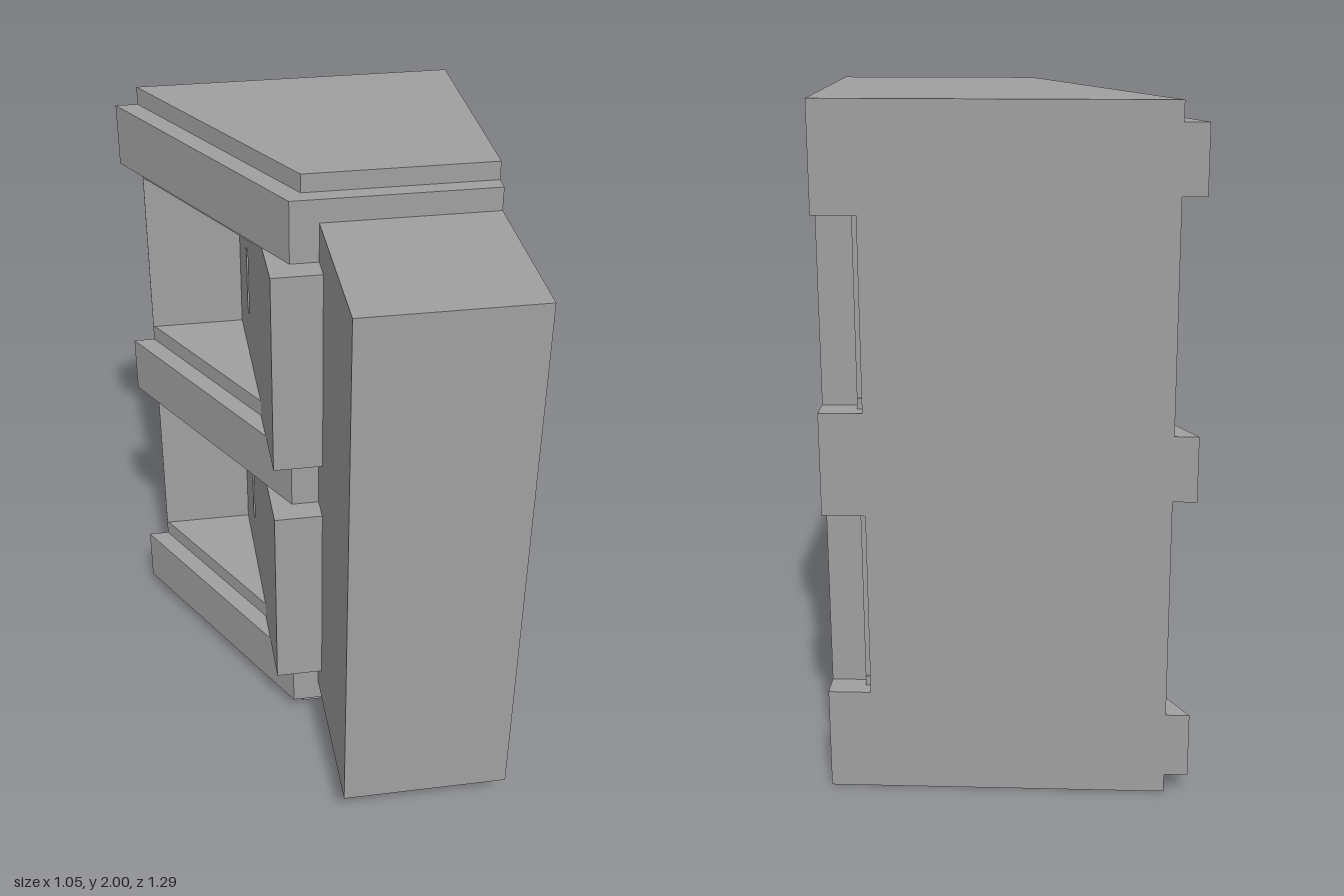
import * as THREE from 'three';

const T = 0.008;   // wall thickness
const R = 0.523;   // open side plane (+x)
const B = -0.645;  // back plane
const F = 0.645;   // front plane
const material = new THREE.MeshStandardMaterial({ color: 0xa0a0a0, flatShading: true, side: THREE.DoubleSide });

// Plan outlines as [x, z] chains, from the back left corner round to the open side
const box = [[0, F], [R, F]];
const notch = [[R, -0.565], [0.4, -0.565], [0.4, B]];
const END = [[-0.455, B], [-0.045, 0.063], [R, 0.063]];
const BAND = [[-0.523, B], [-0.085, 0.112], [R, 0.112]];
const BAND_BOX = [[-0.523, B], [-0.085, 0.112], [0, 0.112], ...box];
const INNER_BOX = [[-0.455, B], [-0.045, 0.063], [0, 0.063], ...box];
const BLOCK = [[-0.455, B], [-0.15, -0.118], [-0.15, 0.187], [0, 0.187], ...box];
const POCKET = [[-0.455, B], [-0.455, B + 0.01], [-0.15, B + 0.01], [-0.15, 0.187], [0, 0.187], ...box];
const SLIT_FRONT = [[-0.15, -0.39], [-0.15, 0.187], [0, 0.187], ...box];
const SLIT_REAR = [...notch, [-0.455, B], [-0.455, B + 0.01], [-0.15, B + 0.01], [-0.15, -0.43], [R, -0.43]];

// Shallow recess in the open side, ending at z = back
const recess = (back) => [[R, 0], [R - 0.01, 0], [R - 0.01, back], [R, back], [R, B]];

// Moves a chain inwards by the wall thickness, with mitred corners
function inset(chain) {
  const normals = chain.slice(1).map(([x, z], i) => {
    const dx = x - chain[i][0], dz = z - chain[i][1], l = Math.hypot(dx, dz);
    return [dz / l, -dx / l];
  });
  return chain.map(([x, z], i) => {
    const a = normals[Math.max(i - 1, 0)], b = normals[Math.min(i, normals.length - 1)];
    const k = T / (1 + a[0] * b[0] + a[1] * b[1]);
    return [x + (a[0] + b[0]) * k, z + (a[1] + b[1]) * k];
  });
}

// Keeps the part of a chain in front of z = limit
function clip(chain, limit) {
  const i = chain.findIndex((p) => p[1] > limit);
  const p = chain[i - 1], q = chain[i];
  const k = (limit - p[1]) / (q[1] - p[1]);
  return [[p[0] + (q[0] - p[0]) * k, limit], ...chain.slice(i)];
}

// Closed plan of a wall layer: outline with a cavity that opens to +x
function plan(outline, cavity, limit, start) {
  const points = [...(start || [[R, outline[0][1]]]), ...outline];
  if (cavity) points.push(...clip(inset(cavity), limit).reverse(), [R, limit]);
  return points;
}

export function createModel() {
  const model = new THREE.Group();

  const add = (name, geometry) => {
    const mesh = new THREE.Mesh(geometry, material);
    mesh.name = name;
    model.add(mesh);
    return mesh;
  };
  const block = (name, x0, x1, y0, y1, z0, z1) =>
    add(name, new THREE.BoxGeometry(x1 - x0, y1 - y0, z1 - z0))
      .position.set((x0 + x1) / 2, (y0 + y1) / 2, (z0 + z1) / 2);
  const slab = (name, points, ya, yb, screwHole) => {
    const shape = new THREE.Shape(points.map(([x, z]) => new THREE.Vector2(x, -z)));
    if (screwHole) shape.holes.push(new THREE.Path().absarc(0.395, 0.044, 0.035, 0, Math.PI * 2, true));
    const geometry = new THREE.ExtrudeGeometry(shape, { depth: Math.abs(yb - ya), bevelEnabled: false, curveSegments: 12 });
    geometry.rotateX(-Math.PI / 2).translate(0, Math.min(ya, yb), 0);
    add(name, geometry);
  };

  // Lower and upper halves: the same stack of layers, mirrored about y = 1
  for (const [flip, limit] of [[false, -0.23], [true, -0.107]]) {
    const m = (y) => (flip ? 2 - y : y);
    const layer = (name, y0, y1, outline, cavity, start) =>
      slab(name, plan(outline, cavity, limit, start), m(y0), m(y1));
    layer('endCap', 0, T, END, null);
    layer('endWall', T, 0.056, END, END);
    layer('bandStep', 0.056, 0.056 + T, BAND, END);
    layer('bandWall', 0.056 + T, 0.128, BAND, BAND);
    layer('frontBoxCap', 0.128, 0.128 + T, BAND_BOX, BAND);
    layer('bandAndBoxWall', 0.128 + T, 0.249 - T, BAND_BOX, BAND_BOX);
    layer('bandLid', 0.249 - T, 0.249, BAND_BOX, INNER_BOX);
    layer('blockFloor', 0.249, 0.249 + T, BLOCK, INNER_BOX);
    layer('blockWall', 0.249 + T, 0.304 - T, BLOCK, BLOCK);
    layer('pocketFloor', 0.304 - T, 0.304, BLOCK, POCKET);
    layer('pocketWall', 0.304, 0.467, POCKET, POCKET, notch);
    slab('slitRear', SLIT_REAR, m(0.467), m(0.688));
    layer('slitFront', 0.467, 0.688, SLIT_FRONT, POCKET);
    layer('pocketWall', 0.688, 0.85, POCKET, POCKET, notch);

    // Solid middle, pierced by a screw hole and recessed for the latch cover
    const middle = (name, y0, y1, outline, start) =>
      slab(name, plan(outline, outline, 0.195, start), m(y0), m(y1), true);
    middle('middleBlock', 0.85, 0.905, BLOCK);
    middle('middleBand', 0.905, 0.92, BAND_BOX);
    middle('latchRecess', 0.92, 0.972, BAND_BOX, recess(-0.325));
    middle('latchTabRecess', 0.972, 1, BAND_BOX, recess(-0.345));

    // Chamfer where the middle meets the terminal strip
    const corner = new THREE.Shape([[-0.196, 0.85], [-0.14, 0.85], [-0.196, 0.797]]
      .map(([z, y]) => new THREE.Vector2(z, m(y))));
    const chamfer = new THREE.ExtrudeGeometry(corner, { depth: R, bevelEnabled: false });
    add('chamfer', chamfer.rotateY(Math.PI / 2));

    // Clip details in the rear notch
    const y0 = flip ? 1.15 : 0.304;
    block('notchRail', 0.39, 0.42, y0 + 0.03, y0 + 0.516, -0.597, -0.582);
    for (const y of [y0, y0 + 0.516]) block('notchPad', 0.39, 0.42, y, y + 0.03, -0.6, -0.565);
  }

  // Terminal compartments in the front box
  block('terminalStrip', 0.29, R, 0.35, 1.66, 0.195, 0.28);
  block('terminalBack', 0.29, 0.29 + T, 0.35, 1.66, 0.28, F - T);
  for (const y of [0.35, 0.77, 1.224, 1.66 - T]) block('terminalShelf', 0.29, R, y, y + T, 0.28, F - T);

  // Latch cover seated flush in its recess, with a lower tab
  block('latchCover', R - 0.012, R, 0.925, 1.075, -0.32, -0.005);
  block('latchTab', R - 0.012, R - 0.004, 0.978, 1.022, -0.343, -0.32);

  // Inner liner and small pin in the lower cavity
  block('cavityLiner', -0.145, -0.132, 0.304, 0.85, -0.23, -0.105);
  add('pin', new THREE.CylinderGeometry(0.012, 0.012, 0.07, 12).rotateX(Math.PI / 2)).position.set(-0.1, 0.575, -0.195);
  block('pinHead', -0.12, -0.08, 0.557, 0.593, -0.165, -0.137);

  return model;
}
